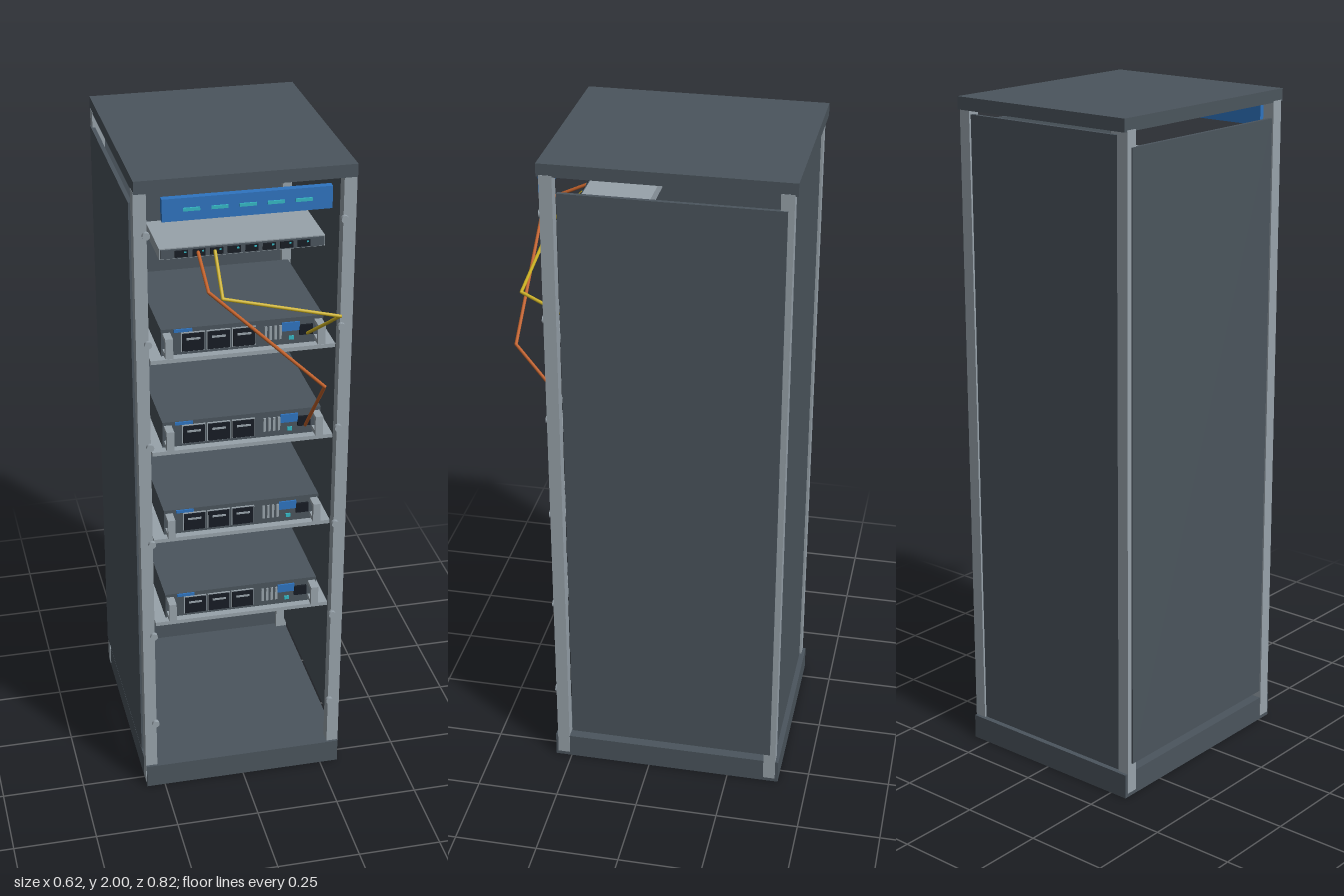
import * as THREE from 'three';

const paint = (name, color) => {
  const m = new THREE.MeshStandardMaterial({ color });
  m.name = name;
  return m;
};

export function createModel() {
  const slate = paint('slate', 0x4b555d);
  const steel = paint('steel', 0x98a3ab);
  const black = paint('black', 0x171c24);
  const blue = paint('blue', 0x2f74c0);
  const teal = paint('teal', 0x35b8c4);
  const orange = paint('orange', 0xc4622a);
  const yellow = paint('yellow', 0xc9ae22);

  const model = new THREE.Group();
  model.name = 'serverRack';

  const box = (parent, name, mat, [w, h, d], [x, y, z]) => {
    const mesh = new THREE.Mesh(new THREE.BoxGeometry(w, h, d), mat);
    mesh.name = name;
    mesh.position.set(x, y, z);
    parent.add(mesh);
    return mesh;
  };

  // Cabinet shell
  box(model, 'base', slate, [0.612, 0.075, 0.71], [0, 0.0375, -0.055]);
  box(model, 'roof', slate, [0.614, 0.037, 0.71], [0, 1.9815, -0.055]);
  box(model, 'backPanel', slate, [0.555, 1.875, 0.012], [0, 1.0125, -0.388]);
  for (const s of [-1, 1]) {
    box(model, 'sidePanel', slate, [0.012, 1.815, 0.627], [s * 0.306, 1.0125, -0.07]);
    for (const z of [0.274, -0.382]) {
      box(model, 'post', steel, [0.036, 1.955, 0.037], [s * 0.29, 0.99, z]);
    }
    // Bolts up the front posts
    for (let i = 0; i < 6; i++) {
      const bolt = new THREE.Mesh(new THREE.CylinderGeometry(0.011, 0.011, 0.012, 12), steel);
      bolt.name = 'bolt';
      bolt.rotation.x = Math.PI / 2;
      bolt.position.set(s * 0.275, 1.843 - i * 0.3215, 0.297);
      model.add(bolt);
    }
  }

  // Header panel with light dashes
  const header = new THREE.Group();
  header.name = 'header';
  model.add(header);
  box(header, 'headerPanel', blue, [0.468, 0.064, 0.021], [0, 1.917, 0.3035]);
  for (let i = -2; i <= 2; i++) {
    box(header, 'headerLight', teal, [0.046, 0.009, 0.005], [i * 0.077, 1.917, 0.316]);
  }

  // Patch panel with eight sockets
  const patch = new THREE.Group();
  patch.name = 'patchPanel';
  model.add(patch);
  box(patch, 'patchBody', steel, [0.464, 0.032, 0.2], [0, 1.768, 0.155]);
  box(patch, 'patchFace', slate, [0.458, 0.026, 0.006], [0, 1.768, 0.257]);
  for (let i = 0; i < 8; i++) {
    const x = -0.172 + i * 0.049;
    box(patch, 'socket', black, [0.036, 0.019, 0.006], [x, 1.768, 0.261]);
    box(patch, 'socketLight', teal, [0.006, 0.004, 0.002], [x + 0.01, 1.773, 0.265]);
  }

  // One server on its shelf, y measured from the server's middle
  const addServer = (y) => {
    const server = new THREE.Group();
    server.name = 'server';
    server.position.y = y;
    model.add(server);
    box(server, 'shelf', steel, [0.53, 0.012, 0.42], [0, -0.051, 0.065]);
    box(server, 'chassis', slate, [0.464, 0.08, 0.4], [0, 0, 0.06]);
    for (const s of [-1, 1]) {
      // Pull handle: grip and two stubs
      box(server, 'handleGrip', steel, [0.022, 0.06, 0.012], [s * 0.217, 0, 0.297]);
      for (const t of [-1, 1]) {
        box(server, 'handleStub', steel, [0.022, 0.012, 0.034], [s * 0.217, t * 0.024, 0.275]);
      }
    }
    // Drive bays
    for (let i = 0; i < 3; i++) {
      const x = -0.142 + i * 0.0725;
      box(server, 'driveFrame', steel, [0.068, 0.058, 0.004], [x, -0.002, 0.262]);
      box(server, 'driveBay', black, [0.063, 0.053, 0.008], [x, -0.002, 0.264]);
      box(server, 'driveLatch', steel, [0.04, 0.006, 0.004], [x, 0.009, 0.268]);
    }
    // Vents, label, display, port and status light
    for (let i = 0; i < 4; i++) {
      box(server, 'vent', steel, [0.007, 0.042, 0.005], [0.066 + i * 0.014, 0, 0.262]);
    }
    box(server, 'label', blue, [0.052, 0.009, 0.005], [-0.17, 0.034, 0.262]);
    box(server, 'display', blue, [0.052, 0.026, 0.006], [0.138, 0.015, 0.262]);
    box(server, 'port', black, [0.038, 0.03, 0.008], [0.182, 0.002, 0.263]);
    box(server, 'statusLight', teal, [0.014, 0.011, 0.005], [0.14, -0.02, 0.262]);
  };
  for (let i = 0; i < 4; i++) addServer(1.505 - i * 0.29);

  // Cables: straight runs with a ball at each bend
  const addCable = (name, mat, points) => {
    const cable = new THREE.Group();
    cable.name = name;
    model.add(cable);
    const pts = points.map((p) => new THREE.Vector3(...p));
    for (let i = 1; i < pts.length; i++) {
      const path = new THREE.LineCurve3(pts[i - 1], pts[i]);
      const run = new THREE.Mesh(new THREE.TubeGeometry(path, 1, 0.005, 8), mat);
      run.name = 'cableRun';
      const bend = new THREE.Mesh(new THREE.SphereGeometry(0.005, 8, 6), mat);
      bend.name = 'cableBend';
      bend.position.copy(pts[i]);
      cable.add(run, bend);
    }
  };
  addCable('orangeCable', orange, [
    [-0.126, 1.77, 0.262], [-0.126, 1.708, 0.396], [0.2, 1.395, 0.406], [0.185, 1.205, 0.268]]);
  addCable('yellowCable', yellow, [
    [-0.079, 1.77, 0.262], [-0.079, 1.668, 0.36], [0.25, 1.588, 0.369], [0.185, 1.497, 0.268]]);

  return model;
}
